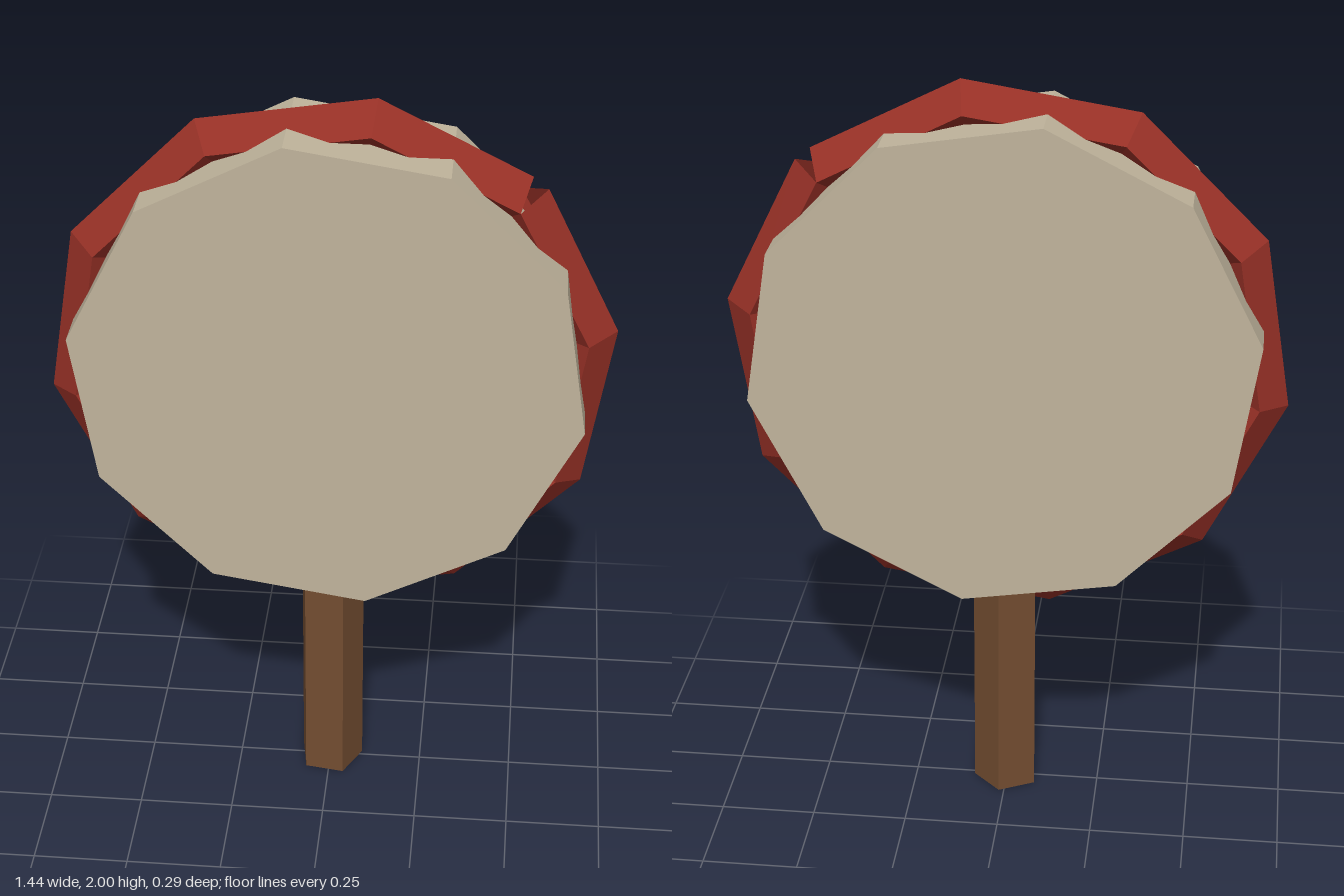
import * as THREE from 'three';

const rad = THREE.MathUtils.degToRad;

function material(name, color) {
  const m = new THREE.MeshStandardMaterial({ color, flatShading: true });
  m.name = name;
  return m;
}

export function createModel() {
  const model = new THREE.Group();
  model.name = 'paddle';
  const cream = material('cream', 0xc0b49c);
  const red = material('red', 0x963026);
  const wood = material('wood', 0x734d31);
  const centerY = 1.2825, centerZ = -0.003;

  const add = (name, geometry, mat, y, z) => {
    const mesh = new THREE.Mesh(geometry, mat);
    mesh.name = name;
    mesh.position.set(0, y, z);
    model.add(mesh);
    return mesh;
  };

  // Ten-sided disc, turned to face the front
  const disc = new THREE.CylinderGeometry(0.656, 0.656, 0.293, 10, 1, false, rad(9));
  disc.rotateX(Math.PI / 2);
  add('disc', disc, cream, centerY, centerZ);

  // Diamond-section rim, its outer edge split at the seam
  const sides = 4, segments = 10;
  const rim = new THREE.TorusGeometry(0.655, 0.0725, sides, segments);
  const pos = rim.attributes.position;
  for (const [i, angle, r] of [[0, 2.1, 0.721], [segments, -1.8, 0.726]]) {
    for (const j of [0, sides]) {
      pos.setXY(j * (segments + 1) + i, r * Math.cos(rad(angle)), r * Math.sin(rad(angle)));
    }
  }
  rim.rotateZ(rad(45));
  red.side = THREE.DoubleSide;
  add('rim', rim, red, centerY, centerZ);

  // Five-sided handle, sunk slightly into the disc
  const handle = new THREE.CylinderGeometry(0.089, 0.089, 0.68, 5, 1, false, rad(27));
  add('handle', handle, wood, 0.34, 0);

  return model;
}
